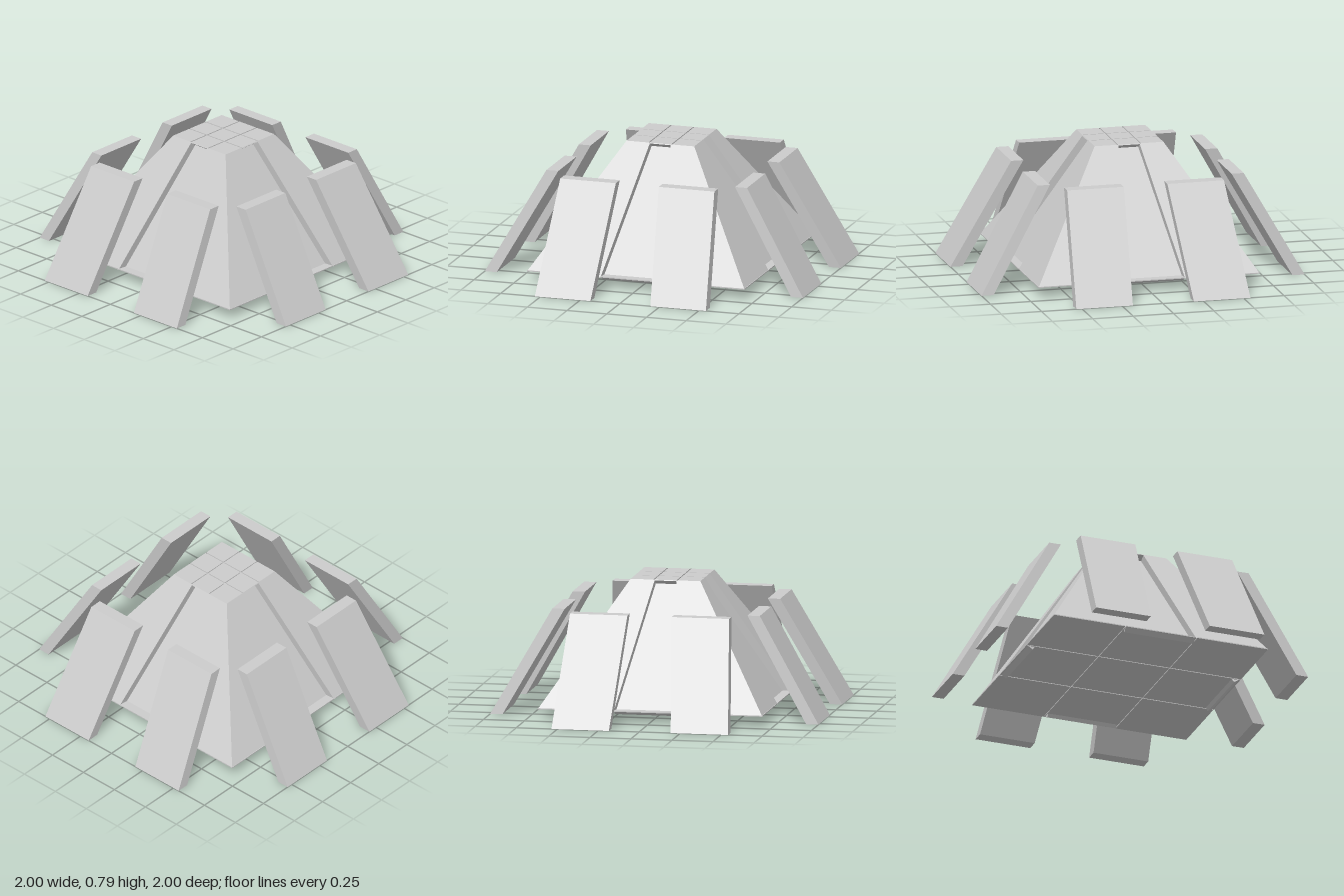
import * as THREE from 'three';

const BASE_Y = 0.062, TOP_Y = 0.79, BASE_HALF = 0.685, TOP_HALF = 0.213;
const mat = new THREE.MeshStandardMaterial({ color: 0xcccccc, flatShading: true, side: THREE.DoubleSide });

function mesh(name, geometry) {
  const m = new THREE.Mesh(geometry, mat);
  m.name = name;
  return m;
}

// Flat quads, corners counter-clockwise from outside
function quads(list) {
  const pos = [];
  for (const [a, b, c, d] of list) for (const p of [a, b, c, a, c, d]) pos.push(p.x, p.y, p.z);
  const g = new THREE.BufferGeometry();
  g.setAttribute('position', new THREE.Float32BufferAttribute(pos, 3));
  g.computeVertexNormals();
  return g;
}

// One sloped wall: two plain outer thirds and a sunken middle panel
function wallGeometry() {
  const at = (u, v, dx = 0) => {
    const half = THREE.MathUtils.lerp(BASE_HALF, TOP_HALF, v);
    return new THREE.Vector3(u * half + dx, THREE.MathUtils.lerp(BASE_Y, TOP_Y, v), half);
  };
  const inward = new THREE.Vector3(0, BASE_HALF - TOP_HALF, TOP_Y - BASE_Y).normalize().multiplyScalar(-0.045);
  const t = 1 / 3, e = 0.006;
  const outer = [at(-t, 0), at(t, 0), at(t, 1), at(-t, 1)];
  const rim = [at(-t, e, e), at(t, e, -e), at(t, 1 - e, -e), at(-t, 1 - e, e)];
  const floor = rim.map((p) => p.clone().add(inward));
  const list = [
    [at(-1, 0), at(-t, 0), at(-t, 1), at(-1, 1)],
    [at(t, 0), at(1, 0), at(1, 1), at(t, 1)],
    floor,
  ];
  for (let i = 0; i < 4; i++) {
    const j = (i + 1) % 4;
    list.push([outer[i], outer[j], rim[j], rim[i]], [rim[i], rim[j], floor[j], floor[i]]);
  }
  return quads(list);
}

// Leaning slab with level ends; its centre line drifts from x0 (foot) to x1 (top)
function slabGeometry(x0, x1) {
  const g = new THREE.BoxGeometry(0.35, 1, 0.075);
  const p = g.attributes.position;
  for (let i = 0; i < p.count; i++) {
    const v = p.getY(i) + 0.5;
    p.setXYZ(i,
      p.getX(i) + THREE.MathUtils.lerp(x0, x1, v),
      v * 0.64,
      p.getZ(i) + THREE.MathUtils.lerp(0.9625, 0.597, v));
  }
  g.computeVertexNormals();
  return g;
}

// Square deck of 3 x 3 tiles separated by fine grooves
function tiledDeck(name, half, y, up) {
  const deck = new THREE.Group();
  deck.name = name;
  const cell = (half * 2) / 3, gap = 0.008, h = 0.006;
  const bed = mesh(name + 'Bed', new THREE.PlaneGeometry(half * 2 - 0.01, half * 2 - 0.01));
  bed.rotation.x = -up * Math.PI / 2;
  bed.position.y = y - up * h;
  deck.add(bed);
  for (let i = -1; i <= 1; i++) {
    for (let j = -1; j <= 1; j++) {
      // Outer tiles run right to the edge of the deck
      const w = cell - (i ? gap / 2 : gap), d = cell - (j ? gap / 2 : gap);
      const tile = mesh(name + 'Tile', new THREE.BoxGeometry(w, h, d));
      tile.position.set(i * (cell + gap / 4), y - up * h / 2, j * (cell + gap / 4));
      deck.add(tile);
    }
  }
  return deck;
}

export function createModel() {
  const model = new THREE.Group();
  model.name = 'bunker';

  // Tapered core
  const core = new THREE.Group();
  core.name = 'core';
  core.add(tiledDeck('roof', TOP_HALF, TOP_Y, 1), tiledDeck('underside', BASE_HALF, BASE_Y, -1));
  core.position.x = -0.003;
  model.add(core);

  // Four walls, each with a pair of leaning shield slabs
  const wall = wallGeometry();
  const slabs = [slabGeometry(-0.36, -0.32), slabGeometry(0.367, 0.3)];
  for (let k = 0; k < 4; k++) {
    const angle = k * Math.PI / 2;
    const side = mesh('wall', wall);
    side.rotation.y = angle;
    core.add(side);
    for (const g of slabs) {
      const slab = mesh('shieldSlab', g);
      slab.rotation.y = angle;
      model.add(slab);
    }
  }
  return model;
}
